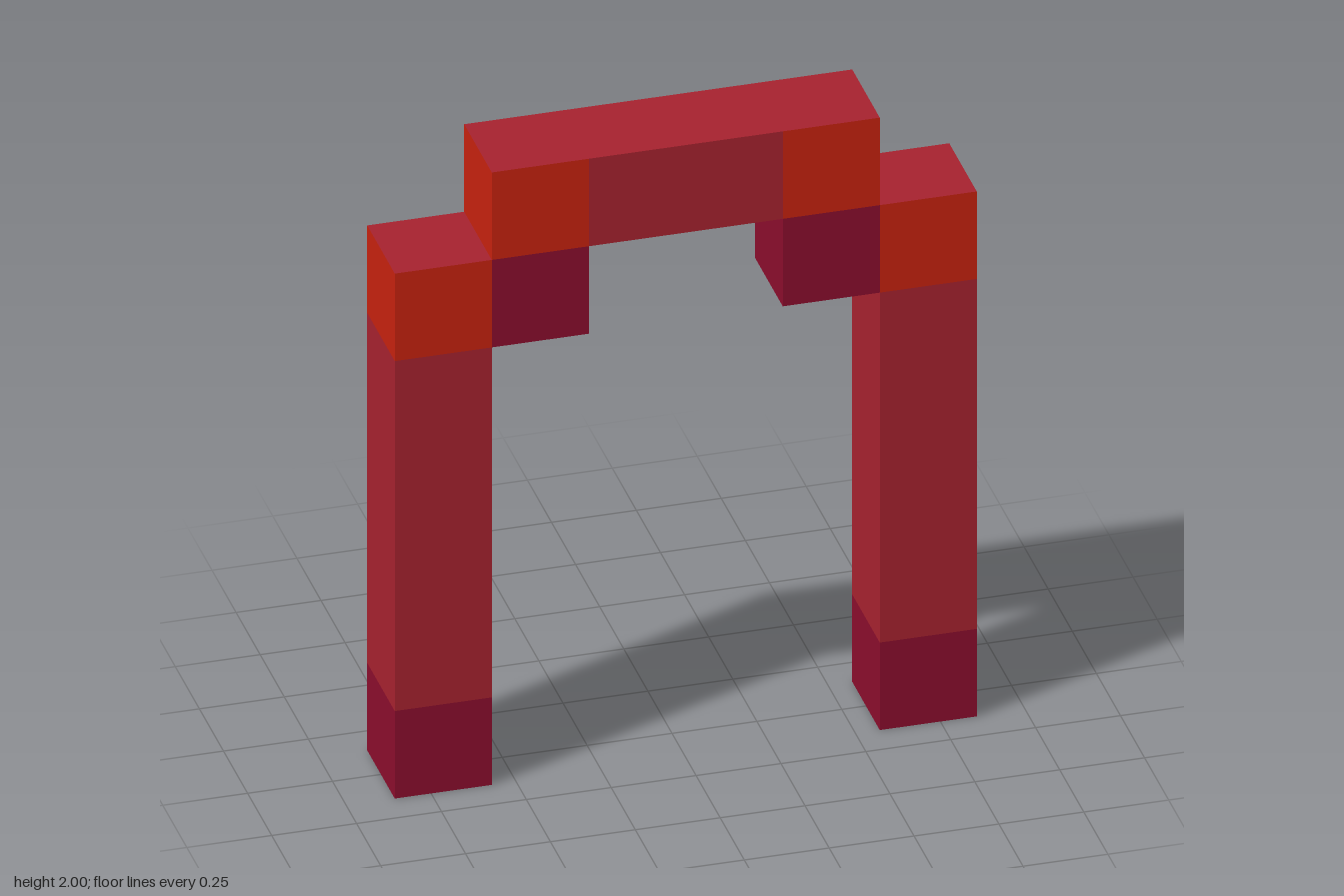
import * as THREE from 'three';

const U = 2 / 7; // one block

export function createModel() {
  const mat = (name, color) => new THREE.MeshStandardMaterial({ name, color });
  const red = mat('red', 0xa5222e);
  const orange = mat('orange red', 0xc5220e);
  const maroon = mat('maroon', 0x8a0d2c);

  const model = new THREE.Group();
  model.name = 'archway';

  // Box measured in blocks: centre x, bottom y, width, height; tops are red, undersides maroon
  function block(parent, name, x, y, w, h, side) {
    const mesh = new THREE.Mesh(
      new THREE.BoxGeometry(w * U, h * U, U),
      [side, side, red, maroon, side, side]
    );
    mesh.position.set(x * U, (y + h / 2) * U, 0);
    mesh.name = name;
    parent.add(mesh);
  }

  // Posts with their inner corner brackets
  for (const [s, label] of [[1, 'left'], [-1, 'right']]) {
    const post = new THREE.Group();
    post.name = label + 'Post';
    block(post, label + 'Foot', s * 2.5, 0, 1, 1, maroon);
    block(post, label + 'Shaft', s * 2.5, 1, 1, 4, red);
    block(post, label + 'Capital', s * 2.5, 5, 1, 1, orange);
    block(post, label + 'Bracket', s * 1.5, 5, 1, 1, maroon);
    block(post, label + 'BeamEnd', s * 1.5, 6, 1, 1, orange);
    model.add(post);
  }

  // Middle of the top beam
  block(model, 'beamMiddle', 0, 6, 2, 1, red);

  return model;
}
